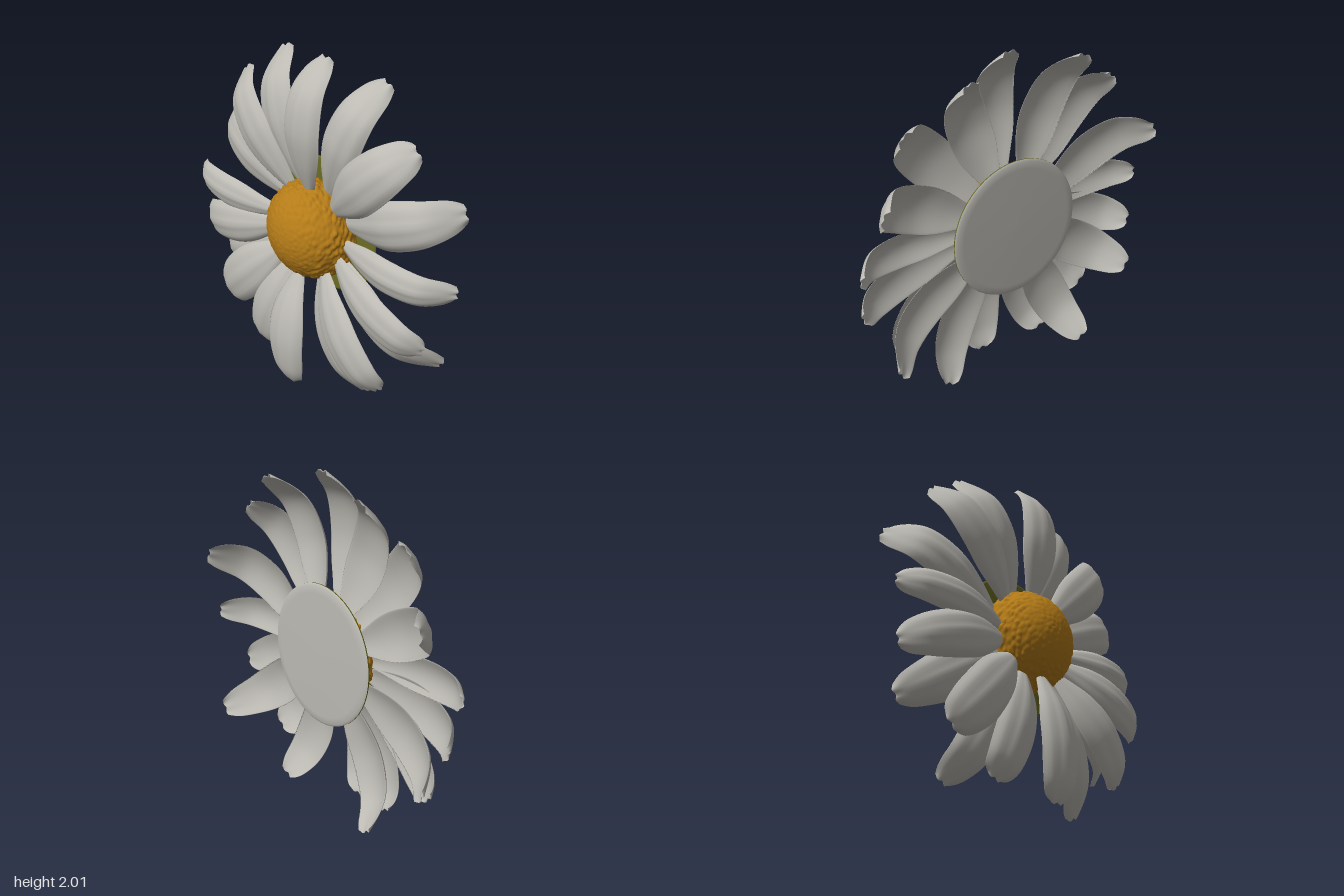
import * as THREE from 'three';

const CENTRE_Y = 0.98;

function material(name, color) {
  const m = new THREE.MeshStandardMaterial({ color });
  m.name = name;
  return m;
}

// One petal along +x: closed lens-shaped rings, ribbed, arched, with a softly notched tip
function petalGeometry(length, baseZ, midZ, tipZ, width) {
  const rows = 32, half = 14, ring = half * 2;
  const spine = new THREE.SplineCurve([
    [0.24, baseZ], [0.44, baseZ + (midZ - baseZ) * 0.7], [0.65, midZ],
    [0.86, midZ + (tipZ - midZ) * 0.24], [length, tipZ],
  ].map(([x, y]) => new THREE.Vector2(x, y)));
  const outline = new THREE.SplineCurve([
    0.22, 0.5, 0.79, 0.96, 1, 0.97, 0.87, 0.68, 0.36,
  ].map((w, i) => new THREE.Vector2(i / 8, w)));
  const pos = [], index = [];
  for (let i = 0; i <= rows; i++) {
    const u = 1 - Math.pow(1 - i / rows, 1.4);
    const p = spine.getPoint(u), w = outline.getPoint(u).y;
    const thick = 0.012 * Math.sqrt(Math.max(0, 1 - Math.pow(u, 12)));
    for (let j = 0; j < ring; j++) {
      const a = (j / ring) * Math.PI * 2;
      const v = -Math.cos(a);
      const notch = Math.pow(u, 14) * (0.012 * v * v + 0.008 * Math.cos(v * 6));
      const rib = Math.sin(a) > 0 ? 0.005 * Math.cos(v * 9) * Math.sin(Math.PI * u) : 0;
      pos.push(
        p.x - notch,
        v * width * 0.5 * w,
        p.y - 0.042 * v * v * w + rib + thick * Math.sin(a));
    }
  }
  for (let i = 0; i < rows; i++) {
    for (let j = 0; j < ring; j++) {
      const k = (j + 1) % ring;
      const a = i * ring + j, b = a + ring, c = i * ring + k, d = c + ring;
      index.push(a, b, c, b, d, c);
    }
  }
  const g = new THREE.BufferGeometry();
  g.setAttribute('position', new THREE.Float32BufferAttribute(pos, 3));
  g.setIndex(index);
  g.computeVertexNormals();
  return g;
}

// Dome covered in spiralling florets, soft at the top and grainy toward the rim
function domeGeometry() {
  const g = new THREE.SphereGeometry(1, 160, 90, 0, Math.PI * 2, 0, Math.PI * 0.62);
  g.rotateX(Math.PI / 2);
  const hash = (i) => Math.abs(Math.sin(i * 127.1) * 43758.5453) % 1;
  const count = 700, florets = [];
  for (let i = 0; i < count; i++) {
    const z = 1 - (1.38 * (i + 0.5)) / count, r = Math.sqrt(1 - z * z);
    const a = i * 2.39996 + (hash(i) - 0.5) * 0.2;
    florets.push(new THREE.Vector3(r * Math.cos(a), r * Math.sin(a), z));
  }
  const p = g.attributes.position, n = new THREE.Vector3();
  for (let i = 0; i < p.count; i++) {
    n.fromBufferAttribute(p, i);
    const rough = 0.012 + 0.045 * THREE.MathUtils.clamp((0.85 - n.z) * 1.6, 0, 1);
    let bump = 0;
    florets.forEach((f, k) => {
      const d = n.distanceToSquared(f) / 0.005;
      if (d < 1) bump = Math.max(bump, (1 - d) * (0.2 + 0.8 * hash(k + 900)));
    });
    const s = 0.98 + rough * bump;
    p.setXYZ(i, n.x * s * 0.288, n.y * s * 0.288, n.z * s * 0.247 - 0.015);
  }
  g.computeVertexNormals();
  return g;
}

export function createModel() {
  const white = material('petal white', 0xbcbab3);
  const gold = material('pollen gold', 0xb57c18);
  const olive = material('olive green', 0x6b6c22);
  const flower = new THREE.Group();
  flower.name = 'daisy';
  const add = (name, geometry, mat, y = CENTRE_Y) => {
    const mesh = new THREE.Mesh(geometry, mat);
    mesh.name = name;
    mesh.position.y = y;
    flower.add(mesh);
    return mesh;
  };

  add('centreDome', domeGeometry(), gold, 0.972);

  // Backing disc: pale bevelled back, green front face and rim
  const disc = (profile) => new THREE.LatheGeometry(
    profile.map(([x, y]) => new THREE.Vector2(x, y)), 48).rotateX(Math.PI / 2);
  add('backDisc', disc([[0, -0.132], [0.36, -0.13], [0.4, -0.125], [0.412, -0.117]]), white, 0.967);
  add('greenDisc', disc([[0.412, -0.117], [0.412, -0.11], [0.4, -0.105], [0, -0.105]]), olive, 0.967);

  // Petals: angle in degrees, length, base z, middle z, tip z, width
  const petals = [
    [88.7, 1.02, 0.02, 0.12, -0.08, 0.28],
    [69, 1.02, -0.05, 0.03, -0.2, 0.27],
    [46, 1.0, -0.01, 0.08, -0.1, 0.29],
    [23.5, 1.0, -0.06, 0.0, -0.25, 0.28],
    [0, 1.0, -0.02, 0.07, -0.13, 0.21],
    [-20, 0.98, 0.02, 0.14, 0.02, 0.26],
    [-35, 1.03, -0.05, 0.02, -0.22, 0.27],
    [-47.5, 0.98, 0.05, 0.19, 0.08, 0.3],
    [-65.5, 1.03, 0.0, 0.1, -0.05, 0.28],
    [-88.5, 0.98, 0.09, 0.25, 0.18, 0.29],
    [-110.5, 0.97, 0.04, 0.17, 0.08, 0.28],
    [-117.5, 1.02, -0.05, 0.02, -0.17, 0.27],
    [-133.5, 0.98, 0.05, 0.17, 0.1, 0.3],
    [-147, 1.02, -0.03, 0.07, -0.12, 0.28],
    [-162, 0.99, 0.02, 0.14, -0.02, 0.26],
    [180, 1.0, 0.02, 0.13, 0.01, 0.21],
    [157, 1.0, -0.05, 0.01, -0.22, 0.28],
    [133, 1.0, -0.01, 0.08, -0.1, 0.29],
    [114, 1.02, -0.04, 0.04, -0.17, 0.3],
  ];
  for (const [angle, ...shape] of petals) {
    add('petal', petalGeometry(...shape), white).rotation.z = THREE.MathUtils.degToRad(angle);
  }
  return flower;
}
